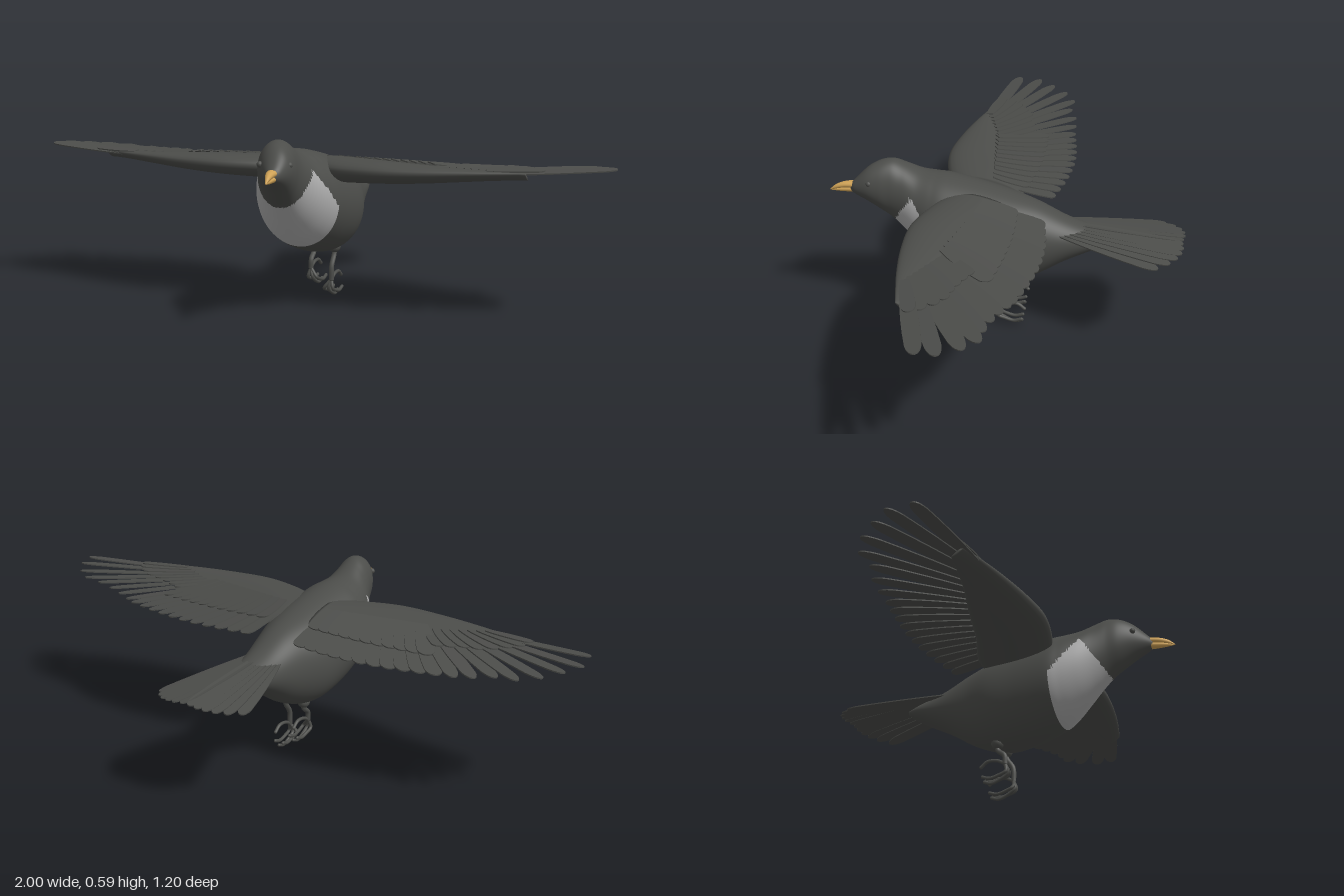
import * as THREE from 'three';

const mat = (name, color, side = THREE.FrontSide) => {
  const m = new THREE.MeshStandardMaterial({ color, side });
  m.name = name;
  return m;
};
const V = (x, y, z) => new THREE.Vector3(x, y, z);

// Smoothly resample rows of numbers (Catmull-Rom on every column)
function smooth(rows, n) {
  const out = [];
  const at = (i) => rows[Math.min(rows.length - 1, Math.max(0, i))];
  for (let k = 0; k <= n; k++) {
    const f = (k / n) * (rows.length - 1), i = Math.min(rows.length - 2, Math.floor(f)), t = f - i;
    out.push(rows[0].map((_, c) => {
      const [a, b, d, e] = [at(i - 1)[c], at(i)[c], at(i + 1)[c], at(i + 2)[c]];
      return b + 0.5 * t * (d - a + t * (2 * a - 5 * b + 4 * d - e + t * (3 * (b - d) + e - a)));
    }));
  }
  return out;
}

// Skin closed rings; faces accepted by isSecond go to a second material group
function loft(rings, flip = false, isSecond = null) {
  const n = rings[0].length, pts = rings.flat(), first = [], second = [];
  const add = (a, b, c) => {
    const mid = V(0, 0, 0).add(pts[a]).add(pts[b]).add(pts[c]).divideScalar(3);
    (isSecond && isSecond(mid) ? second : first).push(...(flip ? [a, c, b] : [a, b, c]));
  };
  for (let i = 0; i < rings.length - 1; i++) {
    for (let j = 0; j < n; j++) {
      const a = i * n + j, b = i * n + (j + 1) % n;
      add(a, a + n, b);
      add(b, a + n, b + n);
    }
  }
  // End caps
  for (const end of [0, rings.length - 1]) {
    const c = pts.length;
    pts.push(rings[end].reduce((s, p) => s.add(p), V(0, 0, 0)).divideScalar(n));
    for (let j = 0; j < n; j++) {
      const a = end * n + j, b = end * n + (j + 1) % n;
      if (end === 0) add(c, a, b); else add(c, b, a);
    }
  }
  const g = new THREE.BufferGeometry().setFromPoints(pts);
  g.setIndex([...first, ...second]);
  g.addGroup(0, first.length, 0);
  if (second.length) g.addGroup(first.length, second.length, 1);
  g.computeVertexNormals();
  return g;
}

// Elliptical rings along z from rows of [z, centre x, top y, bottom y, half width]
const zRings = (rows, steps, sides) => smooth(rows, steps).map(([z, cx, top, bot, hw]) =>
  Array.from({ length: sides }, (_, j) => {
    const a = (j / sides) * Math.PI * 2;
    return V(cx + hw * Math.cos(a), (top + bot) / 2 + (top - bot) / 2 * Math.sin(a), z);
  }));

// Thin rounded feather from root to tip, rolled a little so neighbours overlap
function feather(root, tip, w, roll, material, name) {
  const d = tip.clone().sub(root), L = d.length(), s = new THREE.Shape();
  s.moveTo(-w * 0.3, 0);
  s.lineTo(w * 0.3, 0);
  s.bezierCurveTo(w * 0.5, L * 0.3, w * 0.55, L * 0.6, w * 0.46, L * 0.88);
  s.bezierCurveTo(w * 0.38, L * 0.98, w * 0.15, L, 0, L);
  s.bezierCurveTo(-w * 0.15, L, -w * 0.38, L * 0.98, -w * 0.46, L * 0.88);
  s.bezierCurveTo(-w * 0.55, L * 0.6, -w * 0.5, L * 0.3, -w * 0.3, 0);
  const g = new THREE.ExtrudeGeometry(s, { depth: 0.004, bevelEnabled: false, curveSegments: 5 });
  g.translate(0, 0, -0.002);
  g.rotateY(roll);
  const y = d.normalize(), x = y.clone().cross(V(0, 1, 0)).normalize();
  const m = new THREE.Mesh(g, material);
  m.applyMatrix4(new THREE.Matrix4().makeBasis(x, y, x.clone().cross(y)).setPosition(root));
  m.name = name;
  return m;
}

export function createModel() {
  const bird = new THREE.Group();
  bird.name = 'bird';
  const dark = mat('dark plumage', 0x4c4d4a);
  const pale = mat('pale breast', 0xadadad);
  const horn = mat('yellow beak', 0xcfa256);
  const add = (geo, material, name, parent = bird) => {
    const m = new THREE.Mesh(geo, material);
    m.name = name;
    parent.add(m);
    return m;
  };

  // Head and body in one skin, with a pale crescent on the breast
  const bodyRows = [
    [0.53, 0.049, 0.507, 0.478, 0.013], [0.51, 0.046, 0.528, 0.466, 0.03], [0.47, 0.034, 0.566, 0.44, 0.052],
    [0.43, 0.021, 0.586, 0.408, 0.065], [0.39, 0.012, 0.59, 0.375, 0.071], [0.35, 0.005, 0.574, 0.335, 0.084],
    [0.3, 0, 0.552, 0.285, 0.11], [0.25, 0, 0.545, 0.24, 0.133], [0.2, 0, 0.54, 0.21, 0.148],
    [0.1, 0, 0.52, 0.178, 0.153], [0, 0, 0.495, 0.168, 0.145], [-0.1, 0, 0.465, 0.202, 0.11],
    [-0.2, 0, 0.42, 0.265, 0.08], [-0.3, 0, 0.388, 0.32, 0.055], [-0.35, 0, 0.372, 0.352, 0.03]];
  const inBib = (p) => p.y < 0.485 && p.z > 0.217 + Math.max(0, p.y - 0.36) * 0.75
    && p.z < 0.385 - (p.y - 0.38) * 0.65;
  add(loft(zRings(bodyRows, 112, 64), false, inBib), [dark, pale], 'body');

  // Beak: upper and lower halves
  add(loft(zRings([[0.6, 0.065, 0.485, 0.481, 0.002], [0.58, 0.061, 0.502, 0.486, 0.008],
    [0.55, 0.054, 0.512, 0.49, 0.014], [0.505, 0.045, 0.515, 0.49, 0.02]], 12, 16)), horn, 'upperBeak');
  add(loft(zRings([[0.595, 0.063, 0.484, 0.48, 0.002], [0.57, 0.058, 0.491, 0.477, 0.008],
    [0.54, 0.052, 0.496, 0.475, 0.013], [0.505, 0.045, 0.498, 0.474, 0.018]], 12, 16)), horn, 'lowerBeak');

  // Eyes
  for (const s of [-1, 1]) {
    add(new THREE.SphereGeometry(0.01, 12, 8), dark, 'eye').position.set(0.033 + s * 0.046, 0.522, 0.468 - s * 0.008);
  }

  // Wings: fleshy arm, long outer feathers, inner feathers and a covering row
  const armRows = [ // x, front z, back z, centre y, thickness
    [0.06, 0.2, -0.04, 0.475, 0.1], [0.15, 0.24, -0.03, 0.478, 0.095], [0.28, 0.267, 0.02, 0.482, 0.085],
    [0.42, 0.258, 0.06, 0.485, 0.068], [0.58, 0.228, 0.11, 0.49, 0.042], [0.74, 0.186, 0.145, 0.494, 0.014]];
  const outerTips = {
    '-1': [[0.99, 0.14], [1, 0.06], [0.965, 0], [0.92, -0.06], [0.86, -0.1], [0.79, -0.1], [0.73, -0.125], [0.67, -0.135]],
    1: [[0.998, 0.062], [0.985, 0.005], [0.935, -0.055], [0.88, -0.09], [0.815, -0.09], [0.75, -0.1], [0.695, -0.115], [0.645, -0.13]]
  };
  for (const s of [-1, 1]) {
    const wing = new THREE.Group();
    wing.name = s > 0 ? 'leftWing' : 'rightWing';
    bird.add(wing);
    const rings = smooth(armRows, 30).map(([x, zf, zb, y, t]) => Array.from({ length: 28 }, (_, j) => {
      const a = (j / 28) * Math.PI * 2, c = Math.cos(a);
      const thin = 0.5 + 0.5 * Math.sqrt((c + 1) / 2);
      return V(s * x, y - 0.012 * (1 - c) + t / 2 * Math.sin(a) * thin, (zf + zb) / 2 + (zf - zb) / 2 * c);
    }));
    add(loft(rings, s < 0), dark, 'wingArm', wing);
    const put = (r, t, w, name) => wing.add(
      feather(V(s * r[0], r[1], r[2]), V(s * t[0], t[1], t[2]), w, s * 0.12, dark, name));
    outerTips[s].forEach(([x, z], i) => {
      const k = i / 7, root = [0.62 - 0.18 * k, 0.488 - 0.01 * k, 0.19 - 0.07 * k];
      put(root, [x, 0.507 - 0.05 * k, z], 0.052, 'outerFeather');
      // Covering feather over the base of each outer feather
      const f = 0.45;
      put([root[0], root[1] + 0.012, root[2]], [root[0] + (x - root[0]) * f, 0.502 - 0.015 * k,
        root[2] + (z - root[2]) * f], 0.045, 'outerCovert');
    });
    for (let i = 0; i < 11; i++) {
      const k = i / 10, x = 0.61 - 0.5 * k;
      const z = -0.14 - 0.035 * Math.sin(k * Math.PI * 0.95);
      put([0.43 - 0.33 * k, 0.476, 0.1 - 0.06 * k], [x, 0.452 - 0.012 * k, z], 0.062, 'innerFeather');
      put([0.42 - 0.32 * k, 0.503, 0.12 - 0.05 * k], [x - 0.08 * (1 - k), 0.472, z * 0.4 + 0.005],
        0.06, 'innerCovert');
    }
  }

  // Tail fan
  const tail = new THREE.Group();
  tail.name = 'tail';
  bird.add(tail);
  for (let i = 0; i < 12; i++) {
    const u = (i - 5.5) / 5.5, q = Math.abs(u);
    const tip = V(0.16 * u, 0.368 - 0.02 * q * q, -0.59 - 0.045 * q * (0.6 - q) * 2 + 0.03 * q ** 4);
    tail.add(feather(V(0.05 * u, 0.405 - 0.018 * q, -0.17), tip, 0.046, 0.12 * Math.sign(u), dark, 'tailFeather'));
  }

  // Legs with curled toes
  const tube = (pts, r, name, parent) => {
    add(new THREE.TubeGeometry(new THREE.CatmullRomCurve3(pts), 16, r, 8), dark, name, parent);
    add(new THREE.SphereGeometry(r, 8, 6), dark, name + 'Tip', parent).position.copy(pts[pts.length - 1]);
  };
  for (const s of [-1, 1]) {
    const leg = new THREE.Group();
    leg.name = s > 0 ? 'leftLeg' : 'rightLeg';
    bird.add(leg);
    const drop = s > 0 ? 0 : 0.035, x = s * 0.038, ay = 0.068 + drop, az = 0.022;
    add(new THREE.SphereGeometry(0.022, 16, 12), dark, 'thigh', leg).position.set(x, 0.18, -0.005);
    tube([V(x, 0.19, -0.005), V(x, 0.155, -0.004), V(x, 0.115 + drop * 0.5, 0.02), V(x, ay, az)], 0.009, 'shank', leg);
    for (const t of [-1, 0, 1]) {
      const tx = x - s * 0.008 + t * 0.016;
      tube([V(x, ay, az), V(tx, ay - 0.03, az + 0.006), V(tx, ay - 0.05 + 0.008 * t * t, az - 0.022),
        V(tx, ay - 0.06 + 0.012 * t * t, az - 0.052), V(tx, ay - 0.052 + 0.012 * t * t, az - 0.078)], 0.006, 'toe', leg);
    }
    tube([V(x, ay, az), V(x, ay + 0.015, az - 0.03), V(x, ay + 0.016, az - 0.065),
      V(x, ay - 0.001, az - 0.088)], 0.006, 'hindToe', leg);
  }
  return bird;
}
